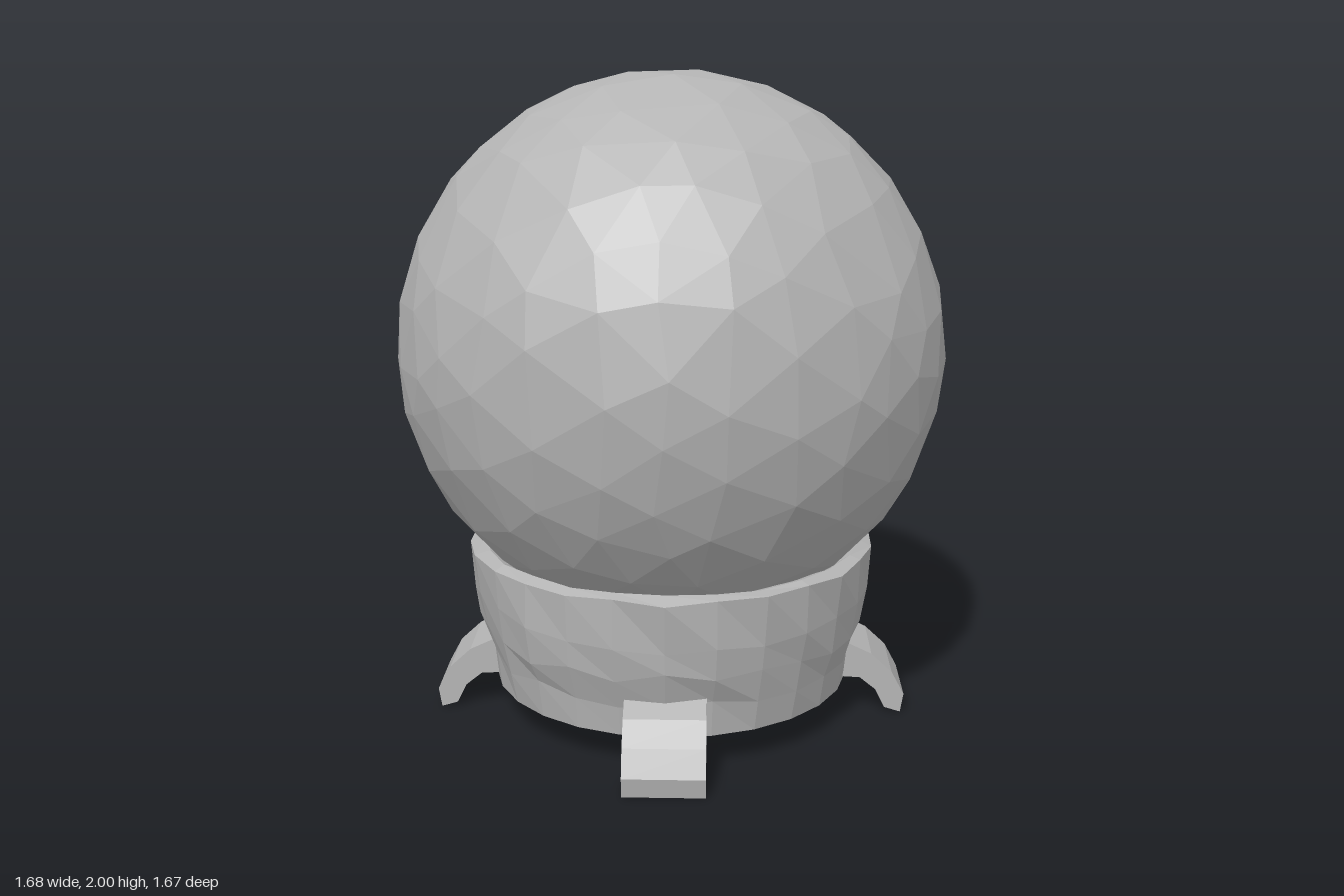
import * as THREE from 'three';

const stone = new THREE.MeshStandardMaterial({ color: 0xb4b4b4, flatShading: true });
stone.name = 'grey';

// Repeatable noise in -1..1, the same for coincident corners
function noise(x, y, z, seed) {
  const r = (v) => Math.round(v * 1000) / 1000 + 0;
  const s = Math.sin(r(x) * 127.1 + r(y) * 311.7 + r(z) * 74.7 + seed * 19.3) * 43758.5453;
  return (s - Math.floor(s)) * 2 - 1;
}

// Moves each vertex by a rule
function reshape(geometry, rule) {
  const p = geometry.attributes.position;
  const v = new THREE.Vector3();
  for (let i = 0; i < p.count; i++) {
    v.fromBufferAttribute(p, i);
    rule(v);
    p.setXYZ(i, v.x, v.y, v.z);
  }
  geometry.computeVertexNormals();
  return geometry;
}

function add(parent, name, geometry) {
  const mesh = new THREE.Mesh(geometry, stone);
  mesh.name = name;
  parent.add(mesh);
  return mesh;
}

export function createModel() {
  const model = new THREE.Group();
  model.name = 'crystalBallOnStand';

  // Faceted ball: corners slide along the surface for uneven facets
  const R = 0.842;
  const ball = reshape(new THREE.IcosahedronGeometry(R, 4), (v) => {
    const { x, y, z } = v;
    v.x += 0.035 * noise(x, y, z, 1);
    v.y += 0.035 * noise(x, y, z, 2);
    v.z += 0.035 * noise(x, y, z, 3);
    v.setLength(R);
  });
  add(model, 'ball', ball).position.y = 1.16;

  // Roughly hewn collar, closed underneath
  const profile = [
    [0, 0.105], [0.56, 0.105], [0.575, 0.21], [0.605, 0.3], [0.622, 0.4],
    [0.63, 0.54], [0.59, 0.55], [0.5, 0.5],
  ].map(([r, y]) => new THREE.Vector2(r, y));
  const collar = reshape(new THREE.LatheGeometry(profile, 26), (v) => {
    const { x, y, z } = v;
    if (y < 0.15) return;
    const k = 1 + 0.012 * noise(x, y, z, 4);
    v.x *= k;
    v.z *= k;
    v.y += (y > 0.5 ? 0.006 : 0.02) * noise(x, y, z, 5);
  });
  add(model, 'collar', collar);

  // Four curved feet
  const side = new THREE.Shape([
    [0.5, 0.12], [0.6, 0.115], [0.65, 0.075], [0.68, 0.015], [0.73, 0], [0.74, 0.06],
    [0.7, 0.135], [0.635, 0.195], [0.56, 0.23], [0.5, 0.23],
  ].map(([x, y]) => new THREE.Vector2(x, y)));
  const footShape = new THREE.ExtrudeGeometry(side, { depth: 0.24, bevelEnabled: false });
  footShape.translate(0, 0, -0.12);
  ['leftFoot', 'backFoot', 'rightFoot', 'frontFoot'].forEach((name, i) => {
    add(model, name, footShape).rotation.y = i * Math.PI / 2;
  });

  return model;
}
